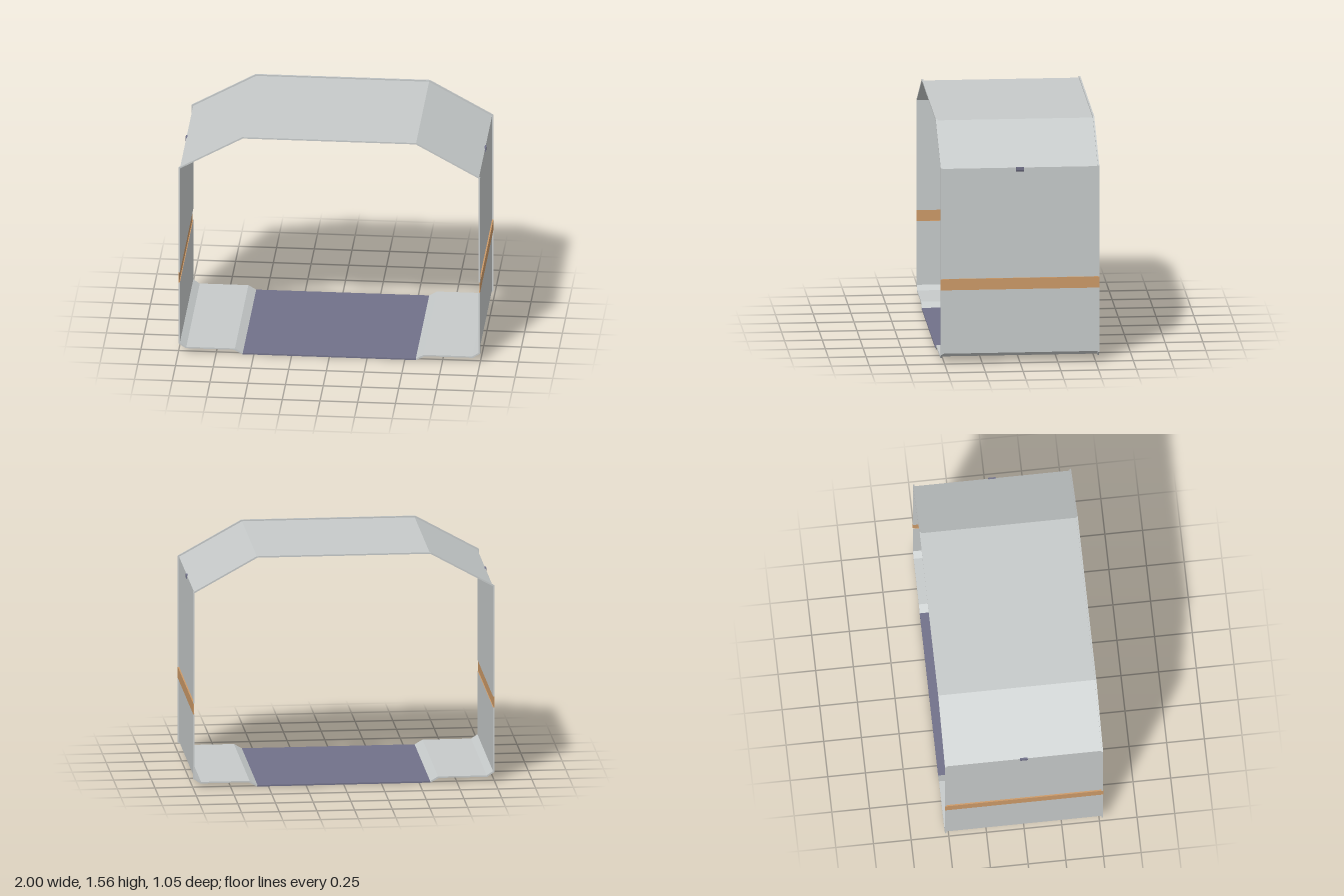
import * as THREE from 'three';

const DEPTH = 1.05;   // full length along z
const RIM = 0.01;     // length of the end flanges along z

// Half cross-section, from floor centre up to roof centre: inner skin and outer flange edge
const INNER = [[0, 0.01], [0.573, 0.01], [0.625, 0.04], [0.947, 0.04], [0.99, 0.068], [0.99, 0.5],
  [0.99, 0.575], [0.99, 1.322], [0.573, 1.553], [0, 1.553]];
const OUTER = [[0, 0], [0.576, 0], [0.632, 0.03], [0.951, 0.03], [1, 0.062], [1, 0.5],
  [1, 0.575], [1, 1.328], [0.577, 1.563], [0, 1.563]];
const NAMES = ['floor', 'floorStep', 'sideFloor', 'floorBevel', 'lowerWall', 'stripe',
  'upperWall', 'roofSlope', 'roof'];

export function createModel() {
  const group = new THREE.Group();
  const mat = (name, color, side = THREE.DoubleSide) =>
    new THREE.MeshStandardMaterial({ name, color, side, flatShading: true });
  const grey = mat('panelGrey', 0xc6caca);
  const orange = mat('stripeOrange', 0xcc9a68);
  const purple = mat('floorPurple', 0x717189);
  const lensGrey = mat('lensGrey', 0xa4a6b0);

  const add = (name, geometry, material) => {
    const mesh = new THREE.Mesh(geometry, material);
    mesh.name = name;
    group.add(mesh);
    return mesh;
  };

  // Flat sheet between two profile points, stretched along z
  const sheet = (name, a, b, depth, material) => {
    const h = depth / 2;
    const g = new THREE.BufferGeometry();
    g.setAttribute('position', new THREE.Float32BufferAttribute([
      a[0], a[1], h, a[0], a[1], -h, b[0], b[1], -h, b[0], b[1], h], 3));
    g.setIndex([0, 1, 2, 0, 2, 3]);
    g.computeVertexNormals();
    add(name, g, material);
  };

  // Solid prism of a polygon, centred on z
  const prism = (name, points, depth, z, material) => {
    const shape = new THREE.Shape(points.map(p => new THREE.Vector2(p[0], p[1])));
    const g = new THREE.ExtrudeGeometry(shape, { depth, bevelEnabled: false });
    g.translate(0, 0, z - depth / 2);
    add(name, g, material);
  };

  for (const s of [1, -1]) {
    const side = s > 0 ? 'left' : 'right';
    const m = p => [p[0] * s, p[1]];

    NAMES.forEach((name, i) => {
      if (name === 'stripe') return;
      const material = name === 'floor' ? purple : grey;
      const [a, b, c, d] = [INNER[i], INNER[i + 1], OUTER[i + 1], OUTER[i]].map(m);
      sheet(`${side} ${name}`, a, b, DEPTH - RIM, material);
      // Raised flange at each open end
      for (const e of [1, -1])
        prism(`${side} ${name} flange`, [a, b, c, d], RIM, e * (DEPTH - RIM) / 2, material);
    });

    // Stripe set slightly outside the wall skin, with its two reveals
    const stripe = new THREE.BoxGeometry(0.004, 0.075, DEPTH + 0.002);
    add(`${side} stripe`, stripe, orange).position.set(s * 0.997, 0.5375, 0);
    for (const y of [0.5, 0.575])
      sheet(`${side} stripe reveal`, m([0.99, y]), m([0.996, y]), DEPTH, orange);

    // Small lamp tucked under the roof slope
    prism(`${side} lamp`, [[0.996, 1.325], [0.996, 1.302], [0.97, 1.276], [0.92, 1.328],
      [0.945, 1.345], [0.966, 1.322], [0.982, 1.325]].map(m), 0.05, 0, purple);
    sheet(`${side} lamp lens`, m([0.964, 1.2805]), m([0.924, 1.322]), 0.042, lensGrey);
  }
  return group;
}
